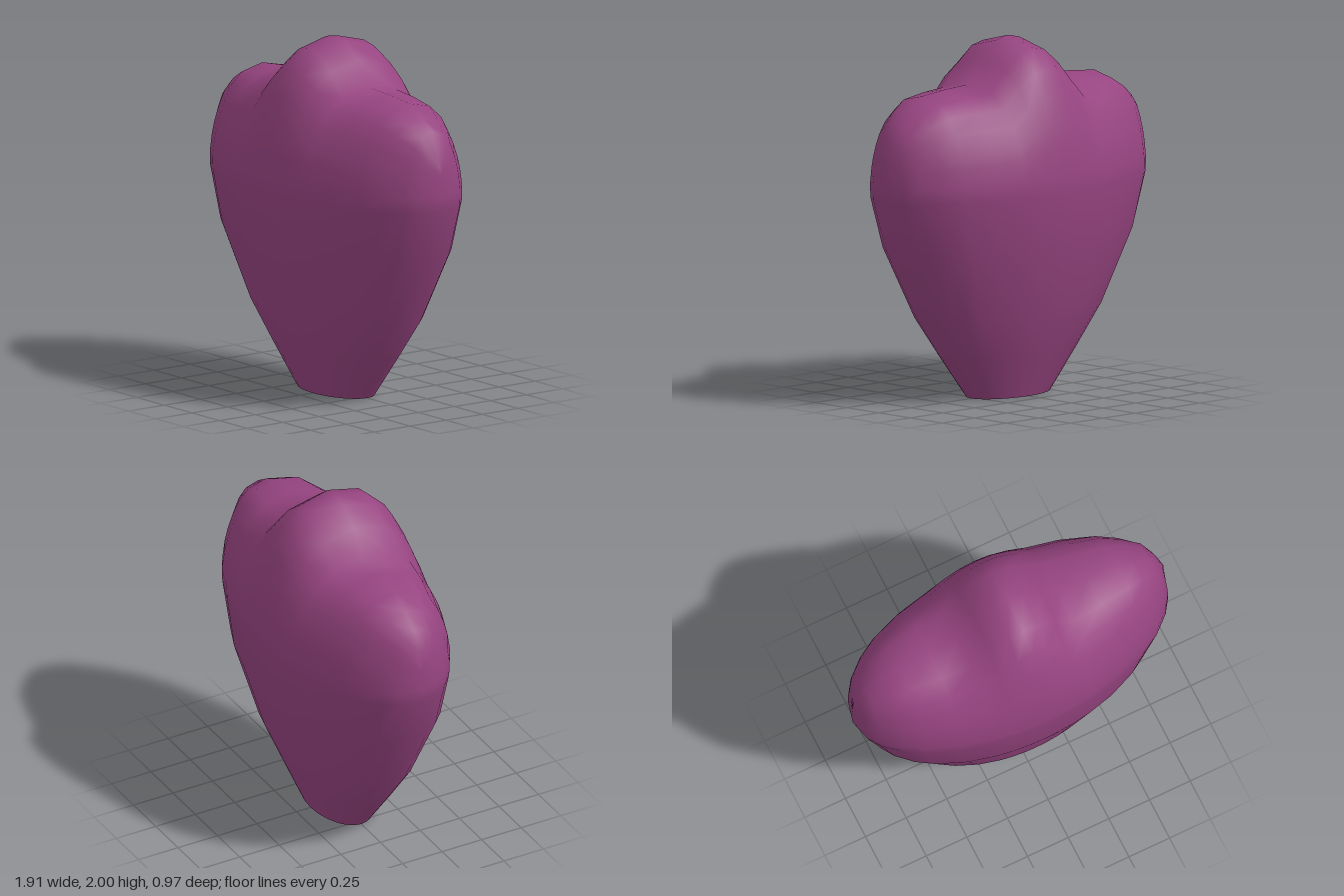
import * as THREE from 'three';
import { mergeVertices } from 'three/addons/utils/BufferGeometryUtils.js';

const HALF_WIDTH = 0.955, HALF_DEPTH = 0.485, WAIST = 1.25;

// Height of the top ridge against distance from the middle
const ridge = [[0, 2], [0.09, 1.98], [0.2, 1.89], [0.31, 1.757], [0.49, 1.748],
  [0.67, 1.73], [0.78, 1.67], [0.875, 1.605], [0.925, 1.49], [0.955, 1.4]];
// Lower rings: height, half width, half depth
const lower = [[0, 0.285, 0.16], [0.24, 0.47, 0.258], [0.47, 0.64, 0.35], [0.88, 0.86, 0.46],
  [1.17, 0.955, 0.481], [WAIST, HALF_WIDTH, HALF_DEPTH]];
// Crown: fraction of the height up to the ridge, fraction of the depth
const crown = [[0.23, 0.95], [0.4, 0.885], [0.6, 0.775], [0.787, 0.63], [0.933, 0.4], [1, 0]];

// Directions around the body, placed so that columns meet the ridge points
function makeColumns() {
  const quarter = ridge.map(([x, top]) => ({ c: x / HALF_WIDTH, top })).reverse();
  const half = [...quarter, ...quarter.slice(0, -1).reverse().map(q => ({ c: -q.c, top: q.top }))];
  const front = half.map(q => ({ ...q, s: Math.sqrt(Math.max(0, 1 - q.c * q.c)) }));
  const back = front.slice(1, -1).reverse().map(q => ({ ...q, s: -q.s }));
  return [...front, ...back];
}

export function createModel() {
  const group = new THREE.Group();
  const plum = new THREE.MeshStandardMaterial({ color: 0x964480 });
  plum.name = 'plum';

  const columns = makeColumns(), n = columns.length;
  const rings = [
    ...lower.map(([y, a, b]) => columns.map(q => [a * q.c, y, b * q.s])),
    ...crown.map(([h, d]) => columns.map(q =>
      [HALF_WIDTH * q.c, WAIST + (q.top - WAIST) * h, HALF_DEPTH * d * q.s])),
  ];

  // Body with two shoulders and a middle peak
  const index = [];
  for (let i = 0; i < rings.length - 1; i++) {
    for (let j = 0; j < n; j++) {
      const k = (j + 1) % n;
      const a = i * n + j, b = i * n + k, c = a + n, d = b + n;
      index.push(a, c, b, b, c, d);
    }
  }
  let geometry = new THREE.BufferGeometry();
  geometry.setAttribute('position', new THREE.Float32BufferAttribute(rings.flat(2), 3));
  geometry.setIndex(index);
  geometry = mergeVertices(geometry, 1e-4);
  geometry.computeVertexNormals();
  const body = new THREE.Mesh(geometry, plum);
  body.name = 'body';

  // Flat underside
  const outline = new THREE.Shape(rings[0].map(([x, , z]) => new THREE.Vector2(x, z)));
  const base = new THREE.Mesh(new THREE.ShapeGeometry(outline).rotateX(Math.PI / 2), plum);
  base.name = 'base';

  group.add(body, base);
  return group;
}
